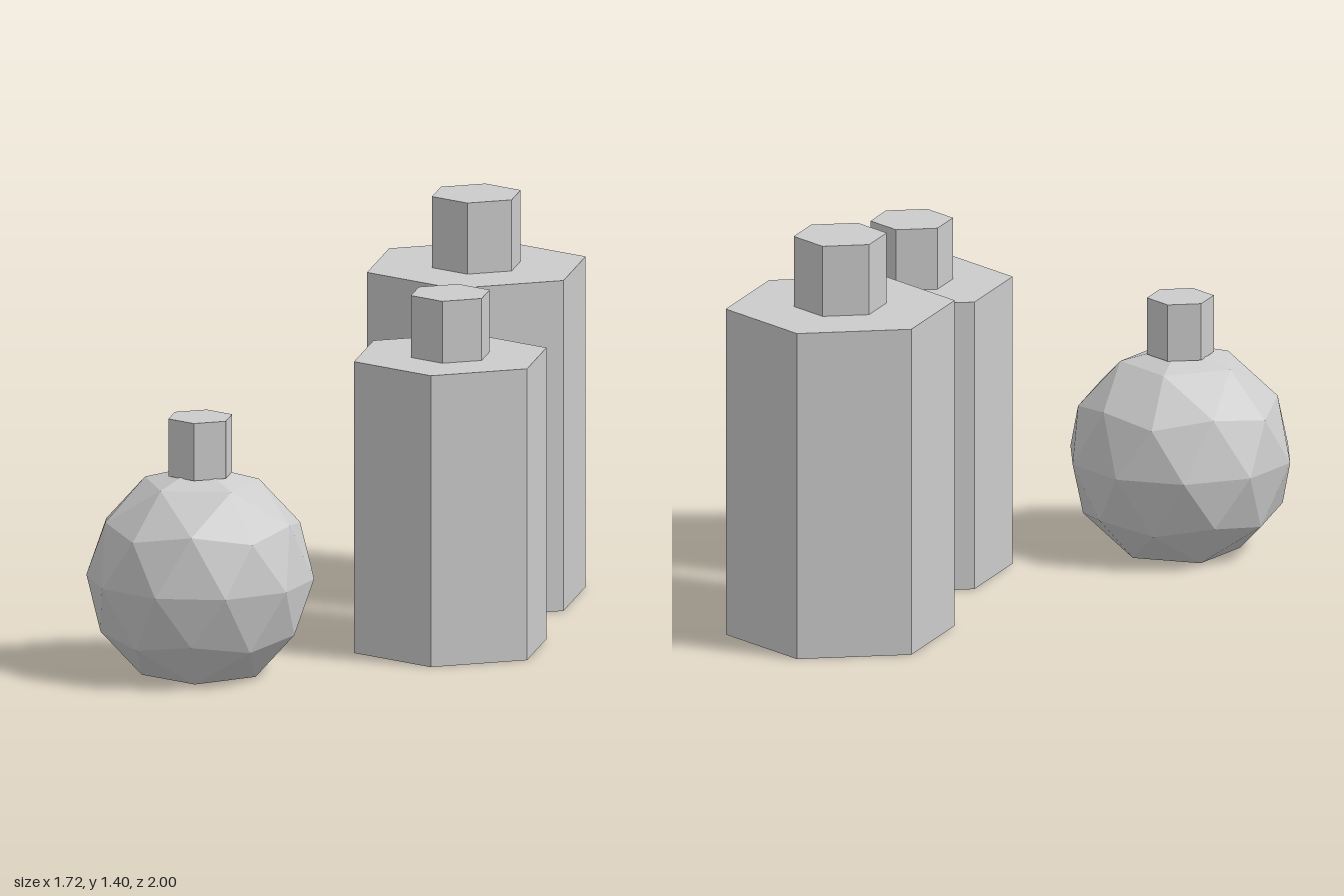
import * as THREE from 'three';

const material = new THREE.MeshStandardMaterial({ color: 0xcccccc, flatShading: true });
const TWIST = -0.205; // shared turn of all hexagonal parts

// Upright hexagonal prism standing on height y0
function hexPrism(name, radius, y0, y1) {
  const geometry = new THREE.CylinderGeometry(radius, radius, y1 - y0, 6);
  const mesh = new THREE.Mesh(geometry, material);
  mesh.name = name;
  mesh.position.y = (y0 + y1) / 2;
  mesh.rotation.y = TWIST;
  return mesh;
}

// Faceted ball with a vertex on top and its lowest vertex flattened into a base
function facetedBall(name, radius) {
  const floor = -0.8507 * radius;
  const geometry = new THREE.IcosahedronGeometry(radius, 1);
  geometry.rotateZ(Math.atan(2 / (1 + Math.sqrt(5))));
  geometry.rotateY(0.838);
  const p = geometry.attributes.position;
  for (let i = 0; i < p.count; i++) p.setY(i, Math.max(p.getY(i), floor));
  geometry.computeVertexNormals();
  const mesh = new THREE.Mesh(geometry, material);
  mesh.name = name;
  mesh.position.y = -floor;
  return mesh;
}

function bottle(name, x, z, ...parts) {
  const group = new THREE.Group();
  group.name = name;
  group.position.set(x, 0, z);
  group.add(...parts);
  return group;
}

export function createModel() {
  const model = new THREE.Group();
  model.name = 'bottles';
  model.add(
    bottle('tallBottle', 0.482, -0.614,
      hexPrism('tallBody', 0.394, 0, 1.152), hexPrism('tallStopper', 0.16, 1.152, 1.4)),
    bottle('mediumBottle', 0.383, 0.209,
      hexPrism('mediumBody', 0.347, 0, 1.016), hexPrism('mediumStopper', 0.142, 1.016, 1.232)),
    bottle('roundBottle', -0.474, 0.614,
      facetedBall('roundBody', 0.39), hexPrism('roundStopper', 0.115, 0.69, 0.89)),
  );
  return model;
}
